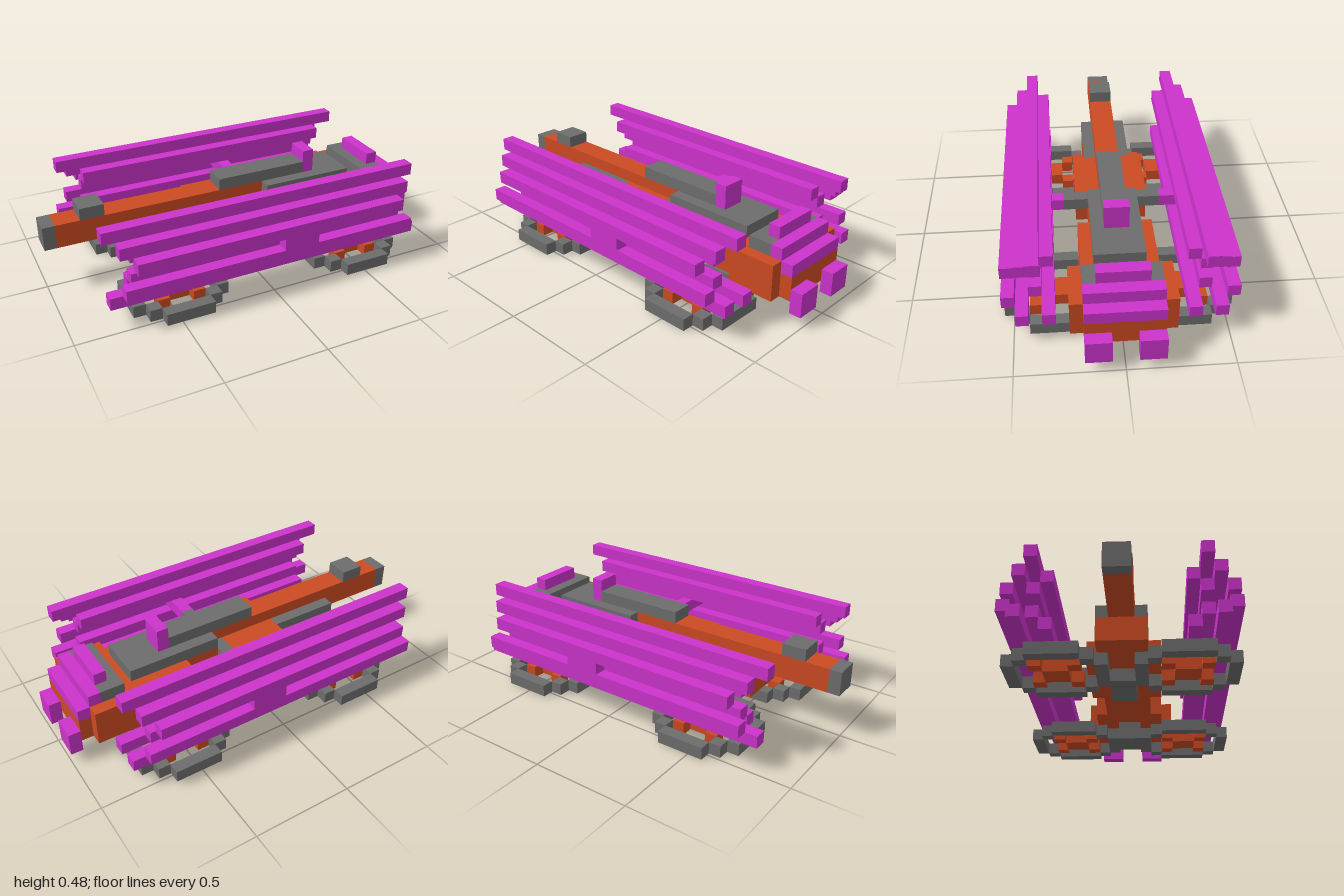
import * as THREE from 'three';

const U = 2 / 33; // one block

export function createModel() {
  const mat = (name, color) => {
    const m = new THREE.MeshStandardMaterial({ color });
    m.name = name;
    return m;
  };
  const purple = mat('purple', 0xcc33cc);
  const orange = mat('orange', 0xcb4a22);
  const gray = mat('gray', 0x6d6d6d);

  const model = new THREE.Group();
  model.name = 'hoverSpeeder';
  const group = (name, parent = model) => {
    const g = new THREE.Group();
    g.name = name;
    parent.add(g);
    return g;
  };
  // Box from its limits, counted in blocks
  const box = (parent, name, m, x0, x1, y0, y1, z0, z1) => {
    const mesh = new THREE.Mesh(new THREE.BoxGeometry((x1 - x0) * U, (y1 - y0) * U, (z1 - z0) * U), m);
    mesh.position.set((x0 + x1) / 2 * U, (y0 + y1) / 2 * U, (z0 + z1) / 2 * U);
    mesh.name = name;
    parent.add(mesh);
  };
  // The same box on both sides of the centre line
  const pair = (parent, name, m, x0, x1, y0, y1, z0, z1) => {
    box(parent, name + 'Front', m, x0, x1, y0, y1, z0, z1);
    box(parent, name + 'Back', m, x0, x1, y0, y1, -z1, -z0);
  };

  // Central spine with its nose and deck blocks
  const hull = group('hull');
  box(hull, 'noseTip', gray, -16.5, -15.5, 4, 6, -1, 1);
  box(hull, 'spine', orange, -15.5, 7.5, 4, 6, -1, 1);
  box(hull, 'noseBlock', gray, -13.5, -11.5, 6, 7, -1, 1);
  box(hull, 'deckBlock', gray, -1.5, 6.5, 6, 7, -1, 1);
  box(hull, 'deckPost', purple, 6.5, 7.5, 6, 8, -1, 1);
  pair(hull, 'sideStrip', gray, -9.5, -3.5, 4, 5, 1, 2);

  // Lower body
  box(hull, 'keel', orange, -9.5, 10.5, 2, 4, -2, 2);
  pair(hull, 'frontFlank', orange, -5.5, 1.5, 2, 4, 2, 3);
  pair(hull, 'frontShoulder', orange, -3.5, 1.5, 4, 5, 1, 3);
  pair(hull, 'rearFlank', orange, 5.5, 10.5, 2, 5, 2, 3);
  box(hull, 'rearBody', orange, 2.5, 10.5, 4, 5, -2, 2);
  pair(hull, 'rearDeck', gray, 2.5, 10.5, 5, 6, 1, 2);
  box(hull, 'rearDeckEnd', gray, 7.5, 10.5, 5, 6, -1, 1);

  // Stepped engine housing at the tail
  const tail = group('tail');
  box(tail, 'engineBulkhead', orange, 10.5, 11.5, 2, 5, -4, 4);
  pair(tail, 'engineWall', orange, 11.5, 14.5, 2, 5, 3, 4);
  box(tail, 'engineCore', orange, 11.5, 14.5, 2, 5, -3, 3);
  box(tail, 'engineBack', orange, 14.5, 15.5, 2, 4, -3, 3);
  box(tail, 'engineDeck', gray, 11.5, 13.5, 5, 6, -3, 3);
  box(tail, 'tailFin', purple, 12.5, 13.5, 6, 7, -2, 2);
  box(tail, 'upperTailStep', purple, 13.5, 14.5, 5, 6, -3, 3);
  box(tail, 'lowerTailStep', purple, 14.5, 15.5, 4, 5, -3, 3);
  pair(tail, 'thruster', purple, 15.5, 16.5, 1, 3, 1, 3);

  // Side pods made of long rails: x0, x1, y, z
  const rails = [
    [-13.5, 13.5, 7, 6], [-12.5, 12.5, 6, 7], [-11.5, 11.5, 6, 5],
    [-11.5, 11.5, 5, 8], [-11.5, 11.5, 5, 6], [-12.5, 12.5, 3, 8],
    [-11.5, 11.5, 3, 6], [-13.5, 13.5, 2, 7], [-11.5, 13.5, 2, 5],
  ];
  const pods = group('sidePods');
  for (const [x0, x1, y, z] of rails) pair(pods, 'podRail', purple, x0, x1, y, y + 1, z, z + 1);
  pair(pods, 'podStrut', gray, 1.5, 2.5, 4, 5, 1, 4);
  pair(pods, 'podStrutEnd', purple, 1.5, 2.5, 4, 5, 4, 8);
  pair(pods, 'podHub', purple, 0.5, 3.5, 4, 5, 8, 9);

  // Flat rotor rings on the ground, with crossed spokes
  for (const cx of [-7.5, 8.5]) for (const cz of [-5, 5]) {
    const rotor = group('rotor');
    const part = (name, m, x0, x1, z0, z1) => box(rotor, name, m, cx + x0, cx + x1, 0, 1, cz + z0, cz + z1);
    part('rotorHub', orange, -1, 1, -1, 1);
    for (const s of [-1, 1]) {
      const a = s > 0 ? 3 : -4;
      part('ringSide', gray, a, a + 1, -2, 2);
      part('ringSide', gray, -2, 2, a, a + 1);
      for (const t of [-1, 1]) {
        const cell = (d, k) => (d > 0 ? k : -k - 1);
        part('ringCorner', gray, cell(s, 2), cell(s, 2) + 1, cell(t, 2), cell(t, 2) + 1);
        part('rotorSpoke', orange, cell(s, 1), cell(s, 1) + 1, cell(t, 1), cell(t, 1) + 1);
      }
    }
  }

  // Legs and plates joining each rotor pair to the hull
  for (const [x, start] of [[-4.5, -6.5], [7.5, 6.5]]) {
    const leg = group('leg');
    box(leg, 'legFront', gray, x, x + 1, 1, 2, -1, 1);
    box(leg, 'legBack', orange, x + 1, x + 2, 1, 2, -1, 1);
    box(leg, 'rotorPlate', gray, start, x + 2, 0, 1, -1, 1);
  }
  return model;
}
